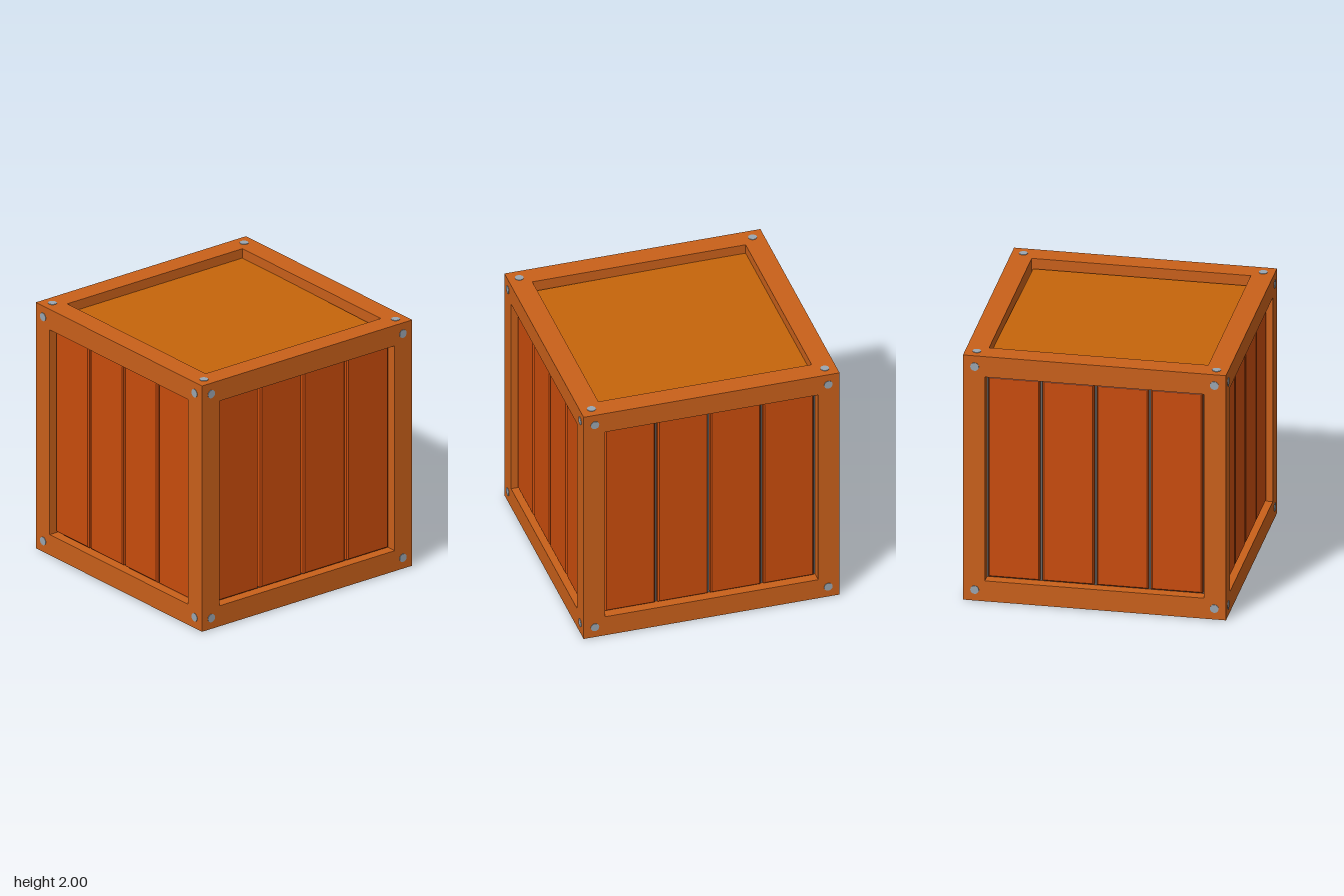
import * as THREE from 'three';

const mat = (color) => new THREE.MeshStandardMaterial({ color });
const frameMat = mat(0xc9601a);
const plankMat = mat(0xc94c0c);
const lidMat = mat(0xc6650b);
const backMat = mat(0x666666);
const nailMat = mat(0x9aa5b0);

const OUT = 0.996; // half size of the timber frame
const IN = 0.83;   // half size of the openings
const MID = (OUT + IN) / 2;
const THICK = OUT - IN;

function add(parent, name, geometry, material, x = 0, y = 0, z = 0) {
  const mesh = new THREE.Mesh(geometry, material);
  mesh.name = name;
  mesh.position.set(x, y, z);
  parent.add(mesh);
  return mesh;
}

// Plank with a chamfered front edge, its front face at z = depth
function plankGeometry(width, height, depth, bevel) {
  const geo = new THREE.BoxGeometry(width, height, depth, 1, 1, 2).toNonIndexed();
  const p = geo.attributes.position;
  for (let i = 0; i < p.count; i++) {
    const z = p.getZ(i);
    if (z > 0.001) {
      p.setX(i, p.getX(i) - Math.sign(p.getX(i)) * bevel);
      p.setY(i, p.getY(i) - Math.sign(p.getY(i)) * bevel);
    }
    // middle ring moves up to where the chamfer starts
    p.setZ(i, z > 0.001 ? depth : z < -0.001 ? 0 : depth - bevel);
  }
  geo.computeVertexNormals();
  return geo;
}

// Horizontal panel, slightly narrower towards +x
function lidGeometry() {
  const shape = new THREE.Shape([
    new THREE.Vector2(-0.84, -0.835), new THREE.Vector2(0.812, -0.815),
    new THREE.Vector2(0.812, 0.815), new THREE.Vector2(-0.84, 0.835),
  ]);
  return new THREE.ExtrudeGeometry(shape, { depth: 0.03, bevelEnabled: false }).rotateX(-Math.PI / 2);
}

export function createModel() {
  const crate = new THREE.Group();
  crate.name = 'crate';

  // Frame: four corner posts, rails at top and bottom
  const post = new THREE.BoxGeometry(THICK, OUT * 2, THICK);
  const railX = new THREE.BoxGeometry(IN * 2, THICK, THICK);
  const railZ = new THREE.BoxGeometry(THICK, THICK, IN * 2);
  const frame = new THREE.Group();
  frame.name = 'frame';
  crate.add(frame);
  for (const a of [-1, 1]) {
    for (const b of [-1, 1]) {
      add(frame, 'cornerPost', post, frameMat, a * MID, 1, b * MID);
      add(frame, 'railAcross', railX, frameMat, 0, 1 + a * MID, b * MID);
      add(frame, 'railAlong', railZ, frameMat, a * MID, 1 + b * MID, 0);
    }
  }

  // Four plank walls, each on a dark backing board
  const plank = plankGeometry(0.39, 1.63, 0.04, 0.01);
  const backing = new THREE.BoxGeometry(1.68, 1.68, 0.02);
  for (let s = 0; s < 4; s++) {
    const wall = new THREE.Group();
    wall.name = 'wall';
    wall.rotation.y = s * Math.PI / 2;
    add(wall, 'backing', backing, backMat, 0, 1, 0.9);
    for (let i = 0; i < 4; i++) {
      add(wall, 'plank', plank, plankMat, -0.619 + i * 0.411, 1, 0.91);
    }
    crate.add(wall);
  }

  // Recessed top and bottom panels
  const lid = lidGeometry();
  add(crate, 'topPanel', lid, lidMat, 0, 1.89, 0);
  add(crate, 'bottomPanel', lid, lidMat, 0, 0.08, 0);

  // Nail heads in the corners of all six faces
  const nail = new THREE.CylinderGeometry(0.033, 0.033, 0.02, 16).rotateX(Math.PI / 2);
  const turns = [[0, 0], [0, 1], [0, 2], [0, 3], [1, 0], [-1, 0]];
  for (const [rx, ry] of turns) {
    const nails = new THREE.Group();
    nails.name = 'nails';
    nails.position.y = 1;
    nails.rotation.set(rx * Math.PI / 2, ry * Math.PI / 2, 0);
    for (const a of [-1, 1]) {
      for (const b of [-1, 1]) add(nails, 'nail', nail, nailMat, a * 0.908, b * 0.908, 0.99);
    }
    crate.add(nails);
  }
  return crate;
}
